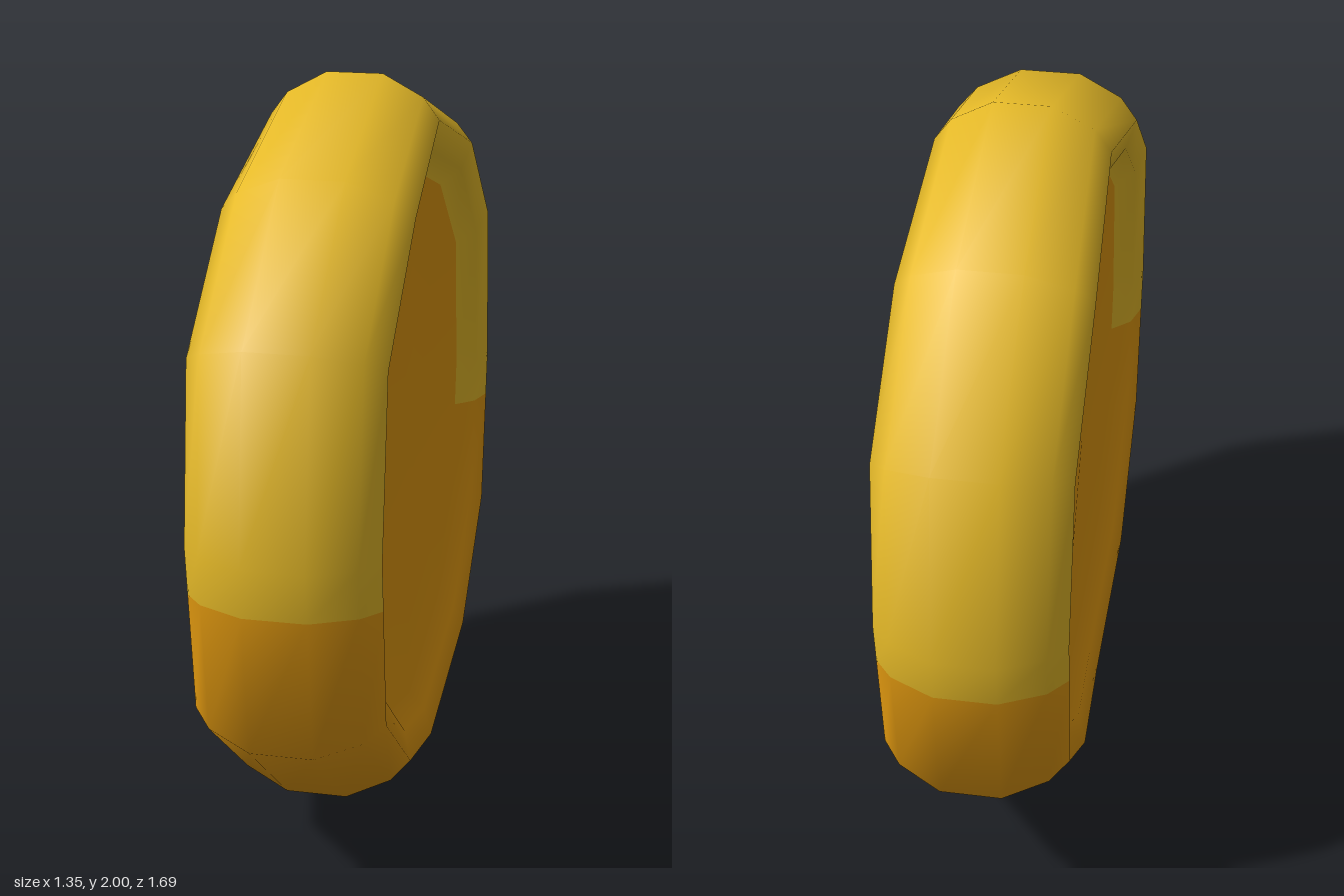
import * as THREE from 'three';

// One quarter of the outline: x, y, thickness factor
const QUARTER = [[0, 1, 0.92], [0.496, 0.83, 1], [0.88, 0.515, 1], [0.948, 0, 1]];
// Front half of the rim's cross-section, from disc edge to crest: depth, scale
const HALF = [[0.165, 0.755], [0.218, 0.805], [0.242, 0.885], [0.195, 0.943], [0.08, 1]];
const SPLIT_Y = -0.13; // height of the colour change on the rim

function coinGeometry() {
  const profile = [...HALF, ...[...HALF].reverse().map(([t, k]) => [-t, k])];
  const mirrorY = ([x, y, w]) => [x, -y, w];
  const right = [...QUARTER, ...QUARTER.slice(0, 3).reverse().map(mirrorY)];
  const left = right.slice(1, 6).reverse().map(([x, y, w]) => [-x, y, w]);
  const outline = [...right, ...left];

  const place = ([x, y, w]) => profile.map(([t, k]) => [x * k, y * k, t * w]);

  // Cross-sections round the rim, with an extra one where the colours meet
  const sections = [];
  outline.forEach((p, i) => {
    const next = outline[(i + 1) % outline.length];
    const a = place(p), b = place(next);
    sections.push(a);
    if ((p[1] - SPLIT_Y) * (next[1] - SPLIT_Y) < 0) {
      sections.push(a.map((v, j) => {
        const f = (SPLIT_Y - v[1]) / (b[j][1] - v[1]);
        return v.map((c, n) => c + (b[j][n] - c) * f);
      }));
    }
  });

  const n = sections.length, m = profile.length;
  const positions = sections.flat(2);
  const front = n * m, back = front + 1;
  positions.push(0, 0, HALF[0][0], 0, 0, -HALF[0][0]);

  const upper = [], lower = [];
  for (let i = 0; i < n; i++) {
    const k = (i + 1) % n;
    const middle = (sections[i][4][1] + sections[k][4][1]) / 2;
    const rim = middle > SPLIT_Y ? upper : lower;
    for (let j = 0; j < m - 1; j++) {
      const a = i * m + j, b = k * m + j;
      rim.push(a, b, a + 1, b, b + 1, a + 1);
    }
    // Recessed discs on both sides
    lower.push(front, k * m, i * m, back, i * m + m - 1, k * m + m - 1);
  }

  const geometry = new THREE.BufferGeometry();
  geometry.setAttribute('position', new THREE.Float32BufferAttribute(positions, 3));
  geometry.setIndex([...upper, ...lower]);
  geometry.addGroup(0, upper.length, 0);
  geometry.addGroup(upper.length, lower.length, 1);
  geometry.computeVertexNormals();
  return geometry;
}

export function createModel() {
  const yellow = new THREE.MeshStandardMaterial({ color: 0xe6ba28 });
  yellow.name = 'golden yellow';
  const orange = new THREE.MeshStandardMaterial({ color: 0xe39a10 });
  orange.name = 'amber orange';

  const coin = new THREE.Mesh(coinGeometry(), [yellow, orange]);
  coin.name = 'coin';
  coin.position.y = 1;
  coin.rotation.y = THREE.MathUtils.degToRad(55.5);

  const model = new THREE.Group();
  model.name = 'model';
  model.add(coin);
  return model;
}
